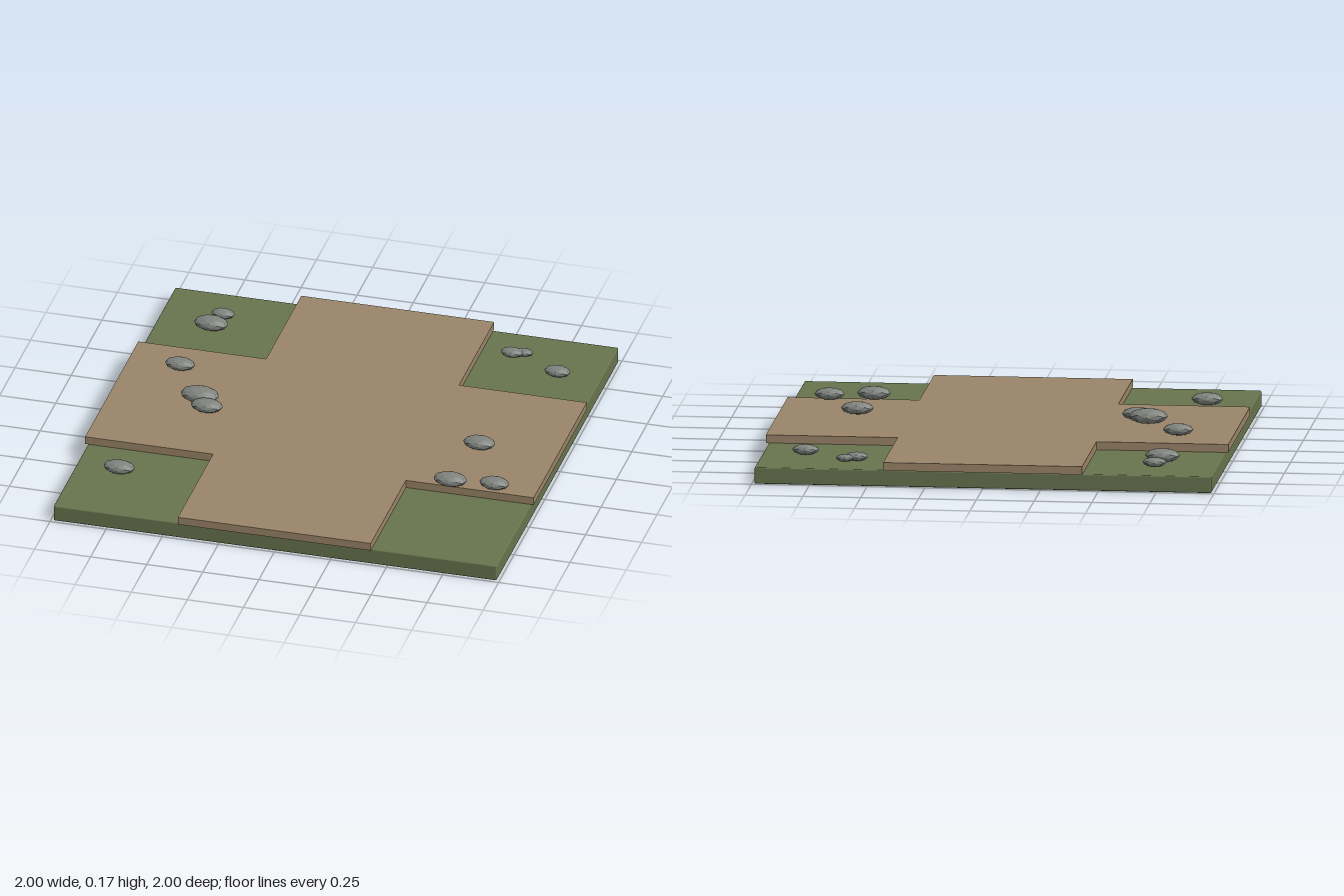
import * as THREE from 'three';
import { RoundedBoxGeometry } from 'three/addons/geometries/RoundedBoxGeometry.js';

const GROUND = 0.072; // top of the grass slab
const PATH = 0.107;   // top of the dirt crossing

function material(name, color, flatShading = false) {
  const m = new THREE.MeshStandardMaterial({ color, flatShading });
  m.name = name;
  return m;
}

// Plus-shaped outline with arms of half width w reaching to r
function crossShape(w, r) {
  const points = [];
  for (let i = 0; i < 4; i++) {
    const c = Math.round(Math.cos(i * Math.PI / 2)), s = Math.round(Math.sin(i * Math.PI / 2));
    for (const [x, y] of [[r, -w], [r, w], [w, w]]) {
      points.push(new THREE.Vector2(x * c - y * s, x * s + y * c));
    }
  }
  return new THREE.Shape(points);
}

export function createModel() {
  const group = new THREE.Group();
  group.name = 'crossroadsTile';
  const grass = material('grass green', 0x67734d);
  const dirt = material('dirt brown', 0x9a8468);
  const stone = material('stone grey', 0x7f837e, true);

  // Grass slab with slightly softened edges
  const slab = new THREE.Mesh(new RoundedBoxGeometry(1.976, GROUND, 1.976, 2, 0.006), grass);
  slab.name = 'grassSlab';
  slab.position.y = GROUND / 2;
  group.add(slab);

  // Raised dirt crossing, overhanging the slab a little
  const pathGeometry = new THREE.ExtrudeGeometry(crossShape(0.43, 1), { depth: PATH - GROUND, bevelEnabled: false });
  pathGeometry.rotateX(-Math.PI / 2);
  const path = new THREE.Mesh(pathGeometry, dirt);
  path.name = 'dirtCrossing';
  path.position.y = GROUND;
  group.add(path);

  // Flattened pebbles: x, z, half width, ground height
  const pebbles = [
    [-0.72, -0.787, 0.052, GROUND], [-0.743, -0.678, 0.076, GROUND],
    [0.567, -0.793, 0.050, GROUND], [0.615, -0.813, 0.040, GROUND],
    [0.80, -0.68, 0.058, GROUND], [-0.793, 0.63, 0.069, GROUND],
    [-0.763, -0.248, 0.066, PATH], [-0.607, 0, 0.085, PATH],
    [-0.555, 0.076, 0.071, PATH], [0.66, 0.076, 0.071, PATH],
    [0.625, 0.418, 0.074, PATH], [0.815, 0.395, 0.066, PATH],
  ];
  const pebbleGeometry = new THREE.IcosahedronGeometry(1, 1);
  pebbles.forEach(([x, z, r, ground], i) => {
    const pebble = new THREE.Mesh(pebbleGeometry, stone);
    pebble.name = `pebble${i + 1}`;
    pebble.scale.set(r, r * 0.4, r * 0.64);
    pebble.position.set(x, ground + r * 0.4, z);
    group.add(pebble);
  });

  return group;
}
